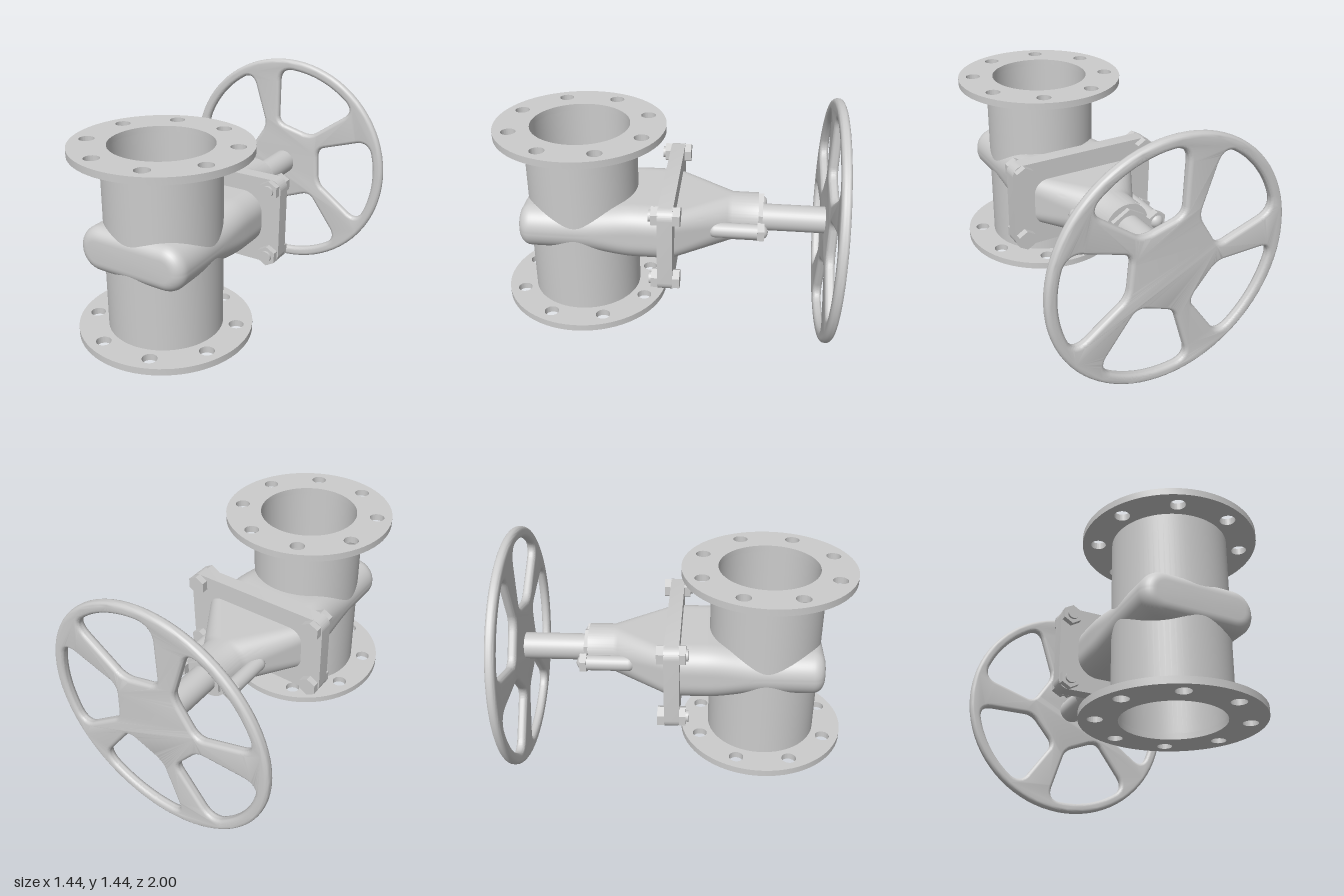
import * as THREE from 'three';
import { toCreasedNormals } from 'three/addons/utils/BufferGeometryUtils.js';

const MID = 0.722;      // height of the stem axis
const PIPE_Z = 0.5;     // pipe axis
const BORE = 0.29, PIPE_R = 0.33;

const mat = new THREE.MeshStandardMaterial({ color: 0xcccccc });

export function createModel() {
  const model = new THREE.Group();

  const add = (name, geo, x = 0, y = 0, z = 0) => {
    const mesh = new THREE.Mesh(geo, mat);
    mesh.name = name;
    mesh.position.set(x, y, z);
    model.add(mesh);
    return mesh;
  };

  // Cylinder lying along z between z0 and z1
  const rod = (name, r, z0, z1, x, y, sides = 32) => {
    const g = new THREE.CylinderGeometry(r, r, Math.abs(z1 - z0), sides).rotateX(Math.PI / 2);
    return add(name, sides < 10 ? toCreasedNormals(g, 0.3) : g, x, y, (z0 + z1) / 2);
  };

  const roundRect = (hw, hh, r) => {
    const s = new THREE.Shape();
    const q = Math.PI / 2;
    s.absarc(hw - r, hh - r, r, 0, q);
    s.absarc(r - hw, hh - r, r, q, 2 * q);
    s.absarc(r - hw, r - hh, r, 2 * q, 3 * q);
    s.absarc(hw - r, r - hh, r, 3 * q, 4 * q);
    s.closePath();
    return s;
  };

  // Skin over rounded-rectangle sections [z, halfWidth, halfHeight, radius], z rising.
  // With hollow set, the part inside the pipe wall is left out.
  const loft = (sections, hollow) => {
    const N = 120, pos = [], idx = [];
    for (const [z, hw, hh, r] of sections) {
      const pts = roundRect(hw, hh, r).getSpacedPoints(N);
      for (let j = 0; j < N; j++) pos.push(pts[j].x, pts[j].y, z);
    }
    const dist = i => Math.hypot(pos[i * 3], pos[i * 3 + 2] - PIPE_Z);
    const tri = (...t) => {
      if (!hollow || t.some(i => dist(i) > 0.32)) idx.push(...t);
    };
    for (let i = 0; i < sections.length - 1; i++) {
      for (let j = 0; j < N; j++) {
        const k = (j + 1) % N;
        const a = i * N + j, b = i * N + k, c = b + N, d = a + N;
        tri(a, b, d);
        tri(b, c, d);
      }
    }
    // Front cap
    const last = (sections.length - 1) * N;
    pos.push(0, 0, sections[sections.length - 1][0]);
    for (let j = 0; j < N; j++) tri(last + j, last + (j + 1) % N, last + N);
    // Tuck the cut edge into the pipe wall
    if (hollow) for (let i = 0; i < pos.length / 3; i++) {
      const d = dist(i);
      if (d > 1e-4 && d < 0.31) {
        pos[i * 3] *= 0.31 / d;
        pos[i * 3 + 2] = PIPE_Z + (pos[i * 3 + 2] - PIPE_Z) * 0.31 / d;
      }
    }
    const g = new THREE.BufferGeometry();
    g.setAttribute('position', new THREE.Float32BufferAttribute(pos, 3));
    g.setIndex(idx);
    return toCreasedNormals(g, 0.6);
  };

  // Closed tube of revolution around the pipe axis
  const ring = (name, r0, r1, y0, y1) => {
    const p = [[r0, y0], [r1, y0], [r1, y1], [r0, y1], [r0, y0]].map(v => new THREE.Vector2(...v));
    return add(name, toCreasedNormals(new THREE.LatheGeometry(p, 72), 0.5), 0, 0, PIPE_Z);
  };
  ring('pipe', BORE, PIPE_R, 0.2, 1.245);
  ring('seatRing', 0.19, 0.3, 0.61, 0.835);
  add('gate', new THREE.BoxGeometry(0.29, 0.1, 0.23), 0, MID, 0.32);

  // End flanges with eight bolt holes
  const disc = new THREE.Shape().absarc(0, 0, 0.5, 0, Math.PI * 2);
  disc.holes.push(new THREE.Path().absarc(0, 0, BORE, 0, Math.PI * 2, true));
  for (let i = 0; i < 8; i++) {
    const a = (i + 0.5) * Math.PI / 4;
    disc.holes.push(new THREE.Path().absarc(0.41 * Math.cos(a), 0.41 * Math.sin(a), 0.043, 0, Math.PI * 2, true));
  }
  const flange = toCreasedNormals(
    new THREE.ExtrudeGeometry(disc, { depth: 0.04, bevelEnabled: false, curveSegments: 36 }).rotateX(-Math.PI / 2), 0.5);
  add('bottomFlange', flange, 0, 0.165, PIPE_Z);
  add('topFlange', flange, 0, 1.24, PIPE_Z);

  // Gate housing: rounded belly round the pipe, taller towards the bonnet
  const FRONT = 0.835, R = 0.07, body = [];
  const bodyAt = (z, inset) => {
    const s = THREE.MathUtils.smoothstep(z, 0.15, 0.5);
    const hh = 0.165 - 0.033 * s - inset;
    body.push([z, 0.345 - 0.009 * s - inset, hh, Math.min(0.128 - inset, hh - 0.002)]);
  };
  for (let i = 0; i <= 40; i++) bodyAt(-0.04 + (FRONT - R + 0.04) * i / 40, 0);
  for (let i = 1; i <= 8; i++) {
    const a = i / 8 * Math.PI / 2;
    bodyAt(FRONT - R + R * Math.sin(a), R * (1 - Math.cos(a)));
  }
  add('housing', loft(body, true), 0, MID, 0);

  // Bonnet narrowing from the plate to a round neck
  const bonnet = [[-0.55, 0.14, 0.145, 0.139], [-0.4, 0.14, 0.145, 0.139]];
  for (let i = 1; i <= 12; i++) {
    const t = i / 12;
    bonnet.push([-0.4 + 0.35 * t, 0.14 + 0.205 * t, 0.145, 0.139 - 0.06 * t]);
  }
  add('bonnet', loft(bonnet, false), 0, MID, 0);
  rod('neckFace', 0.138, -0.552, -0.53, 0, MID, 48);

  // Bolted plate
  const plate = new THREE.ExtrudeGeometry(roundRect(0.46, 0.263, 0.06),
    { depth: 0.085, bevelEnabled: false, curveSegments: 10 });
  add('plate', toCreasedNormals(plate, 0.5), 0, MID, -0.08);
  for (const sx of [-1, 1]) for (const sy of [-1, 1]) {
    const x = sx * 0.4, y = MID + sy * 0.206;
    rod('plateBoltHead', 0.06, -0.12, -0.075, x, y, 6);
    rod('plateNut', 0.06, 0, 0.042, x, y, 6);
    rod('plateBoltEnd', 0.034, 0, 0.057, x, y, 24);
  }

  // Gland with its two bolts and side bosses
  rod('gland', 0.118, -0.578, -0.545, 0, MID, 6);
  for (const sx of [-1, 1]) {
    const x = sx * 0.177;
    const boss = new THREE.CapsuleGeometry(0.045, 0.26, 8, 24).rotateX(Math.PI / 2);
    add('glandBoss', boss, x, MID, -0.435);
    rod('bossFace', 0.045, -0.55, -0.4, x, MID, 24);
    rod('glandBoltHead', 0.06, -0.588, -0.548, x, MID, 6);
  }

  // Stem
  rod('stem', 0.08, -0.96, -0.55, 0, MID, 40);

  // Handwheel: five spokes, each with one straight and one flared edge
  const rim = new THREE.Shape().absarc(0, 0, 0.72, 0, Math.PI * 2);
  const OUT = 0.653, IN = 0.28, STEP = Math.PI * 2 / 5;
  for (let i = 0; i < 5; i++) {
    const a0 = Math.PI / 5 + i * STEP;
    const at = (a, r, off) => [r * Math.cos(a) - off * Math.sin(a), r * Math.sin(a) + off * Math.cos(a)];
    const A = r => at(a0, r, 0.063);
    const B = r => at(a0 + STEP, r, -0.065 - 0.32 * (r - 0.37));
    const inA = A(IN), inB = B(IN);
    const mix = t => [inA[0] + (inB[0] - inA[0]) * t, inA[1] + (inB[1] - inA[1]) * t];
    const p = new THREE.Path();
    p.moveTo(...A(IN + 0.05));
    p.lineTo(...A(OUT - 0.09));
    p.quadraticCurveTo(...A(OUT - 0.003), ...at(a0 + 0.22, OUT, 0));
    p.absarc(0, 0, OUT, a0 + 0.22, a0 + STEP - 0.36, false);
    p.quadraticCurveTo(...B(OUT - 0.02), ...B(OUT - 0.1));
    p.lineTo(...B(IN + 0.05));
    p.quadraticCurveTo(...inB, ...mix(0.75));
    p.lineTo(...mix(0.25));
    p.quadraticCurveTo(...inA, ...A(IN + 0.05));
    rim.holes.push(p);
  }
  const wheel = new THREE.ExtrudeGeometry(rim, {
    depth: 0.007, bevelEnabled: true, bevelThickness: 0.024, bevelSize: 0.024,
    bevelOffset: -0.024, bevelSegments: 5, curveSegments: 40,
  });
  add('handwheel', toCreasedNormals(wheel, 0.6), 0, 0.72, -0.976);

  return model;
}
